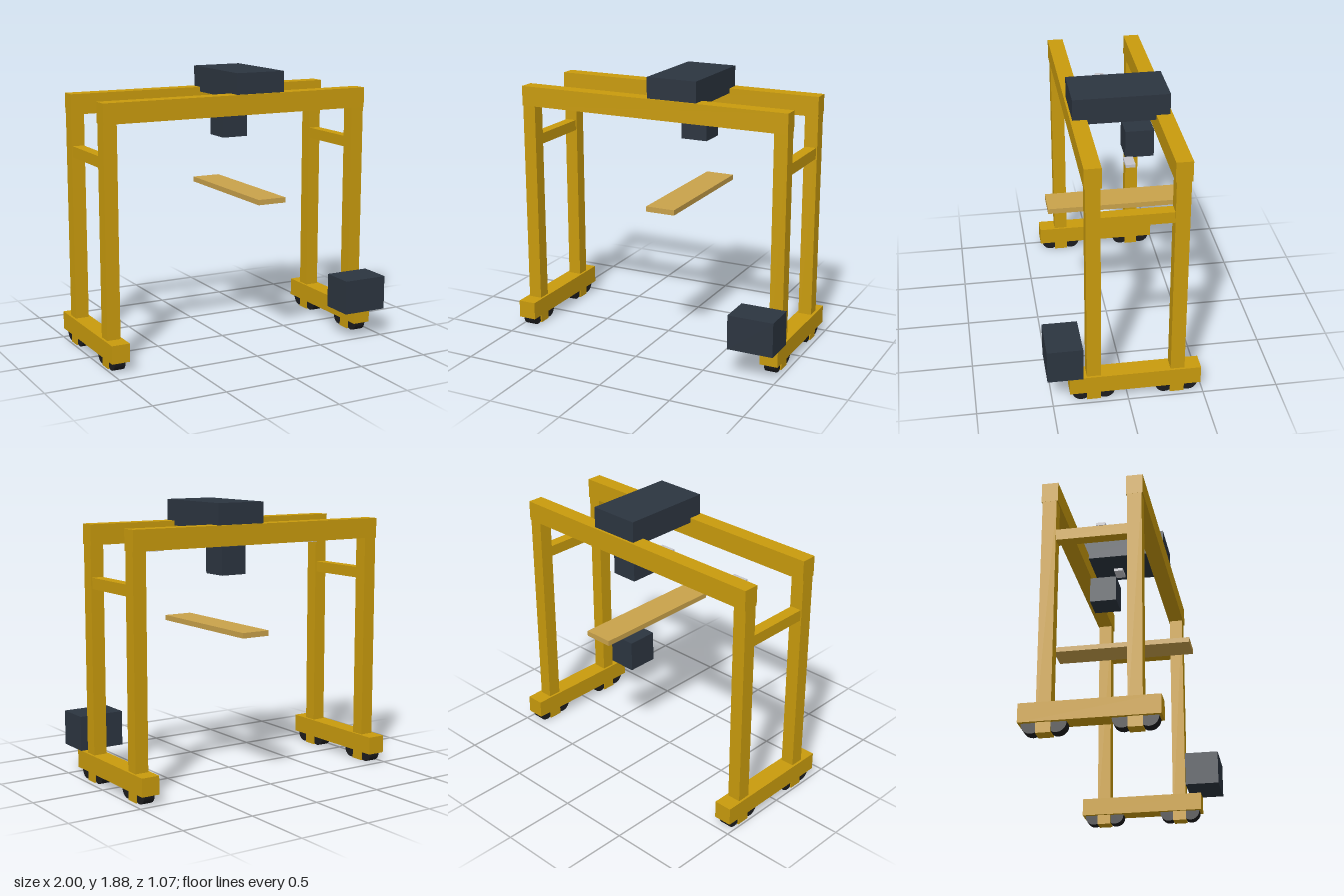
import * as THREE from 'three';

const mat = (name, color) => {
  const m = new THREE.MeshStandardMaterial({ color });
  m.name = name;
  return m;
};

export function createModel() {
  const yellow = mat('crane yellow', 0xc99b0d);
  const navy = mat('dark slate', 0x2c3540);
  const tan = mat('spreader tan', 0xc9a24b);
  const grey = mat('lamp grey', 0xc5c5cb);
  const rubber = mat('tyre black', 0x1c1c1e);

  const crane = new THREE.Group();
  crane.name = 'gantryCrane';

  // Box given by its [min, max] range on each axis
  const box = (name, material, [x0, x1], [y0, y1], [z0, z1]) => {
    const mesh = new THREE.Mesh(new THREE.BoxGeometry(x1 - x0, y1 - y0, z1 - z0), material);
    mesh.position.set((x0 + x1) / 2, (y0 + y1) / 2, (z0 + z1) / 2);
    mesh.name = name;
    crane.add(mesh);
  };
  const around = (c, size) => [c - size / 2, c + size / 2];

  const frontZ = 0.225, backZ = -0.33;
  const wheelGeo = new THREE.CylinderGeometry(0.063, 0.063, 0.076, 20).rotateZ(Math.PI / 2);

  // Side frames: sill, two legs, cross tie and four wheels each
  for (const [side, x] of [['right', -0.938], ['left', 0.917]]) {
    box(side + 'Sill', yellow, around(x, 0.125), [0.067, 0.19], [-0.485, 0.385]);
    box(side + 'FrontLeg', yellow, around(x, 0.093), [0, 1.6], around(frontZ, 0.093));
    box(side + 'BackLeg', yellow, around(x, 0.093), [0, 1.6], around(backZ, 0.093));
    box(side + 'CrossTie', yellow, around(x, 0.077), [1.31, 1.385], [backZ, frontZ]);
    for (const z of [0.305, 0.147, -0.25, -0.405]) {
      const wheel = new THREE.Mesh(wheelGeo, rubber);
      wheel.position.set(x, 0.063, z);
      wheel.name = side + 'Wheel';
      crane.add(wheel);
    }
  }

  // Top girders
  box('frontGirder', yellow, [-0.985, 0.965], [1.597, 1.733], around(frontZ, 0.108));
  box('backGirder', yellow, [-0.985, 0.965], [1.597, 1.733], around(backZ, 0.108));

  // Trolley, operator cab and spreader
  box('trolley', navy, [-0.028, 0.326], [1.7, 1.875], [-0.367, 0.265]);
  box('cab', navy, [0.055, 0.242], [1.395, 1.583], [-0.28, -0.09]);
  box('spreader', tan, [0.047, 0.25], [1.014, 1.05], [-0.535, 0.427]);

  // Power unit beside the left sill
  box('powerUnit', navy, [0.684, 1.0], [0.2, 0.435], [0.298, 0.533]);

  // Lamps between the girders
  for (const x of [-0.643, -0.01, 0.622]) {
    box('lamp', grey, around(x, 0.107), [1.56, 1.58], [-0.083, -0.021]);
  }

  return crane;
}
